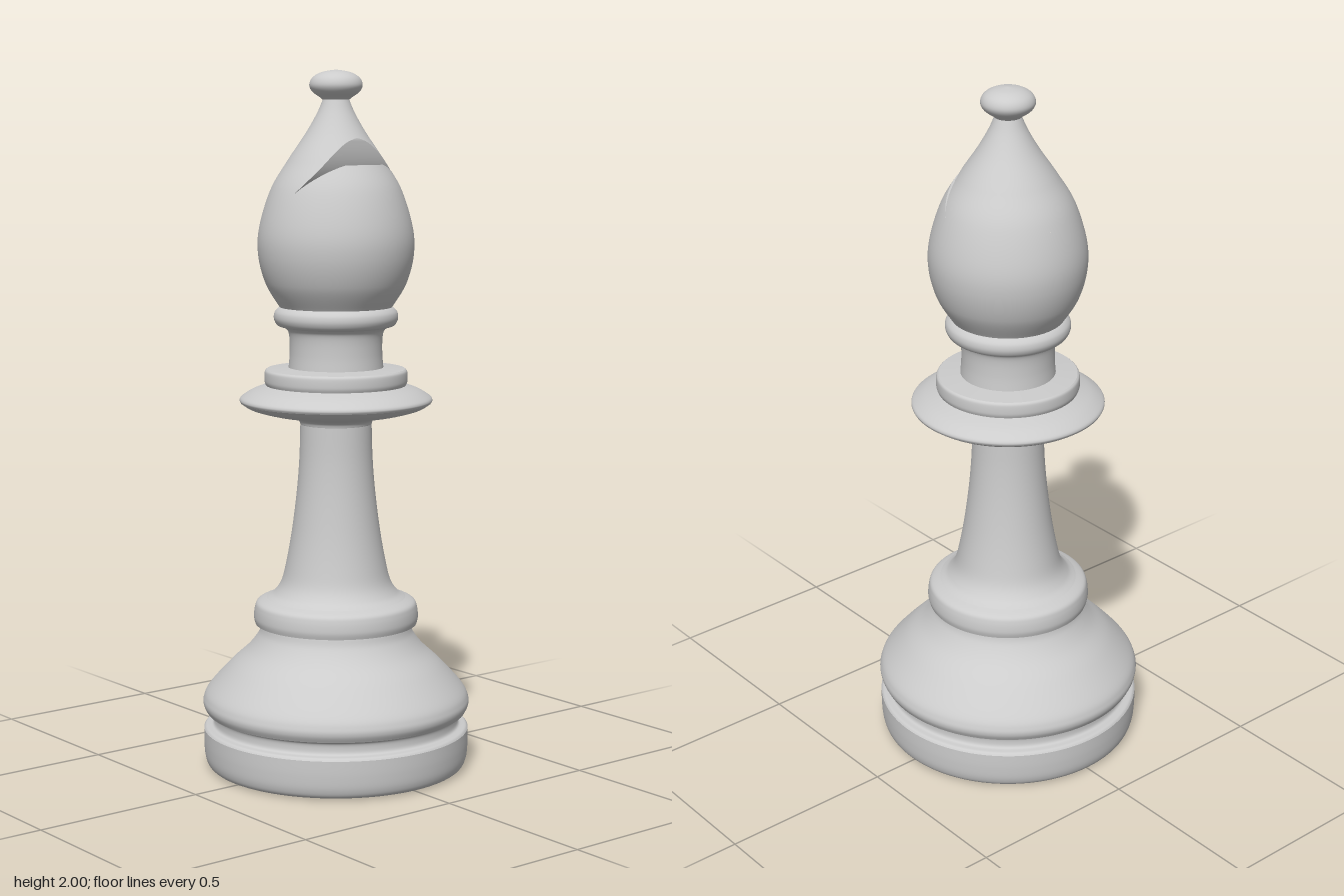
import * as THREE from 'three';

const material = new THREE.MeshStandardMaterial({ color: 0xcccccc });
const V = (p) => new THREE.Vector2(p[0], p[1]);

// Turned part: a smooth profile of [radius, y] points, bottom to top
function turned(name, points, smooth = true) {
  const pts = points.map(V);
  const profile = smooth ? new THREE.SplineCurve(pts).getPoints(points.length * 6) : pts;
  const mesh = new THREE.Mesh(new THREE.LatheGeometry(profile, 96), material);
  mesh.name = name;
  return mesh;
}

// Surface from a rule f(u, v) -> [x, y, z], with an optional normal rule
function surface(name, f, nu, nv, normalAt) {
  const pos = [], nor = [], index = [];
  for (let j = 0; j <= nv; j++) {
    for (let i = 0; i <= nu; i++) {
      const p = f(i / nu, j / nv);
      pos.push(...p);
      if (normalAt) nor.push(...normalAt(p));
      if (i < nu && j < nv) {
        const a = j * (nu + 1) + i, c = a + nu + 1;
        index.push(a, c, a + 1, a + 1, c, c + 1);
      }
    }
  }
  const g = new THREE.BufferGeometry();
  g.setAttribute('position', new THREE.Float32BufferAttribute(pos, 3));
  g.setIndex(index);
  if (normalAt) g.setAttribute('normal', new THREE.Float32BufferAttribute(nor, 3));
  else g.computeVertexNormals();
  const mesh = new THREE.Mesh(g, material);
  mesh.name = name;
  return mesh;
}

// Egg-shaped head with a slanted slot cut through it along z
function createHead() {
  const Y0 = 1.335, TIP_Y = 1.645, TIP_X = 0.03, CUT_TOP = 1.83, Y1 = 1.92;
  const table = new THREE.SplineCurve([
    [0.16, Y0], [0.199, 1.4], [0.22, 1.48], [0.217, 1.56], [0.185, 1.665],
    [0.138, 1.745], [0.085, 1.824], [0.053, 1.88], [0.036, Y1],
  ].map(V)).getPoints(400);

  const radius = (y) => {
    let i = table.findIndex((p) => p.y >= y);
    if (i < 0) i = table.length - 1;
    i = Math.max(1, i);
    const a = table[i - 1], b = table[i];
    return a.x + (b.x - a.x) * (y - a.y) / (b.y - a.y);
  };
  const roundNormal = ([x, y, z]) => {
    const slope = (radius(y + 0.004) - radius(y - 0.004)) / 0.008;
    const r = Math.hypot(x, z) || 1;
    return new THREE.Vector3(x / r, -slope, z / r).normalize().toArray();
  };
  const onHead = (angle, y) => [radius(y) * Math.cos(angle), y, radius(y) * Math.sin(angle)];
  const lerp = THREE.MathUtils.lerp;

  // Slot sides: steep curved upper wall, sloping lower lip
  const wallX = (y) => TIP_X + 0.065 * (1 - (1 - Math.min(1, (y - TIP_Y) / 0.18)) ** 3);
  const lipY = (x) => Math.min(TIP_Y + 0.95 * (x - TIP_X), 1.737);
  const cutAngle = (y) => Math.acos(Math.min(1, wallX(y) / radius(y)));
  const lipAngle = Math.acos(TIP_X / radius(TIP_Y));
  const rimY = (angle) => {
    let lo = TIP_Y, hi = 1.8;
    for (let k = 0; k < 30; k++) {
      const y = (lo + hi) / 2;
      if (y < lipY(radius(y) * Math.cos(angle))) lo = y; else hi = y;
    }
    return lo;
  };

  const band = (a, b) => (u, v) => onHead(u * Math.PI * 2, lerp(a, b, v));
  const head = new THREE.Group();
  head.name = 'head';
  head.add(
    surface('headLower', band(Y0, TIP_Y), 96, 32, roundNormal),
    surface('headTop', band(CUT_TOP, Y1), 96, 12, roundNormal),
    surface('headUpper', (u, v) => {
      const y = lerp(TIP_Y, CUT_TOP, v), a = cutAngle(y);
      return onHead(lerp(a, Math.PI * 2 - a, u), y);
    }, 96, 40, roundNormal),
    surface('slotWall', (u, v) => {
      const y = lerp(TIP_Y, CUT_TOP, v);
      return [Math.min(wallX(y), radius(y)), y, radius(y) * Math.sin(cutAngle(y)) * (2 * u - 1)];
    }, 24, 40),
    surface('lipOuter', (u, v) => {
      const a = lerp(-lipAngle, lipAngle, u);
      return onHead(a, lerp(TIP_Y, rimY(a), v));
    }, 64, 12, roundNormal),
    surface('lipInner', (u, v) => {
      const [x, , z] = onHead(lerp(-lipAngle, lipAngle, u), rimY(lerp(-lipAngle, lipAngle, u)));
      const px = lerp(x, TIP_X, v);
      return [px, lipY(px), z];
    }, 64, 12),
  );
  return head;
}

export function createModel() {
  const model = new THREE.Group();
  model.name = 'chessPiece';
  model.add(
    // Foot
    turned('baseUnderside', [[0, 0], [0.34, 0]], false),
    turned('baseBand', [[0.34, 0], [0.367, 0.007], [0.379, 0.03], [0.383, 0.07], [0.383, 0.115]]),
    turned('baseGroove', [[0.383, 0.115], [0.376, 0.122], [0.358, 0.126], [0.353, 0.14], [0.356, 0.158], [0.375, 0.166]]),
    turned('baseShoulder', [[0.375, 0.166], [0.384, 0.185], [0.383, 0.205], [0.367, 0.235],
      [0.308, 0.3], [0.254, 0.35], [0.224, 0.39], [0.215, 0.417]]),
    // Stem
    turned('stemCollarUnderside', [[0.21, 0.417], [0.233, 0.421]], false),
    turned('stemCollar', [[0.233, 0.421], [0.237, 0.44], [0.234, 0.468], [0.226, 0.485], [0.2, 0.497]]),
    turned('stem', [[0.2, 0.497], [0.178, 0.512], [0.157, 0.545], [0.143, 0.6], [0.127, 0.69],
      [0.113, 0.8], [0.105, 0.9], [0.102, 1.0]]),
    // Wide disc with a step above it
    turned('discUnderside', [[0.102, 1.0], [0.108, 1.012], [0.13, 1.021], [0.19, 1.031], [0.245, 1.046], [0.272, 1.062]]),
    turned('discTop', [[0.272, 1.062], [0.275, 1.07], [0.268, 1.08], [0.24, 1.097], [0.2, 1.112]]),
    turned('stepSide', [[0.2, 1.112], [0.204, 1.125], [0.203, 1.15], [0.197, 1.158]]),
    turned('stepTop', [[0.197, 1.158], [0.135, 1.163]], false),
    // Neck and ring
    turned('neck', [[0.135, 1.163], [0.132, 1.2], [0.132, 1.24], [0.136, 1.265], [0.146, 1.277]]),
    turned('neckRing', [[0.146, 1.277], [0.166, 1.283], [0.176, 1.3], [0.175, 1.318], [0.166, 1.33], [0.155, 1.336]]),
    createHead(),
    // Finial
    turned('finial', [[0.036, 1.915], [0.044, 1.922], [0.066, 1.938], [0.075, 1.957],
      [0.066, 1.978], [0.04, 1.993], [0, 2]]),
  );
  return model;
}
